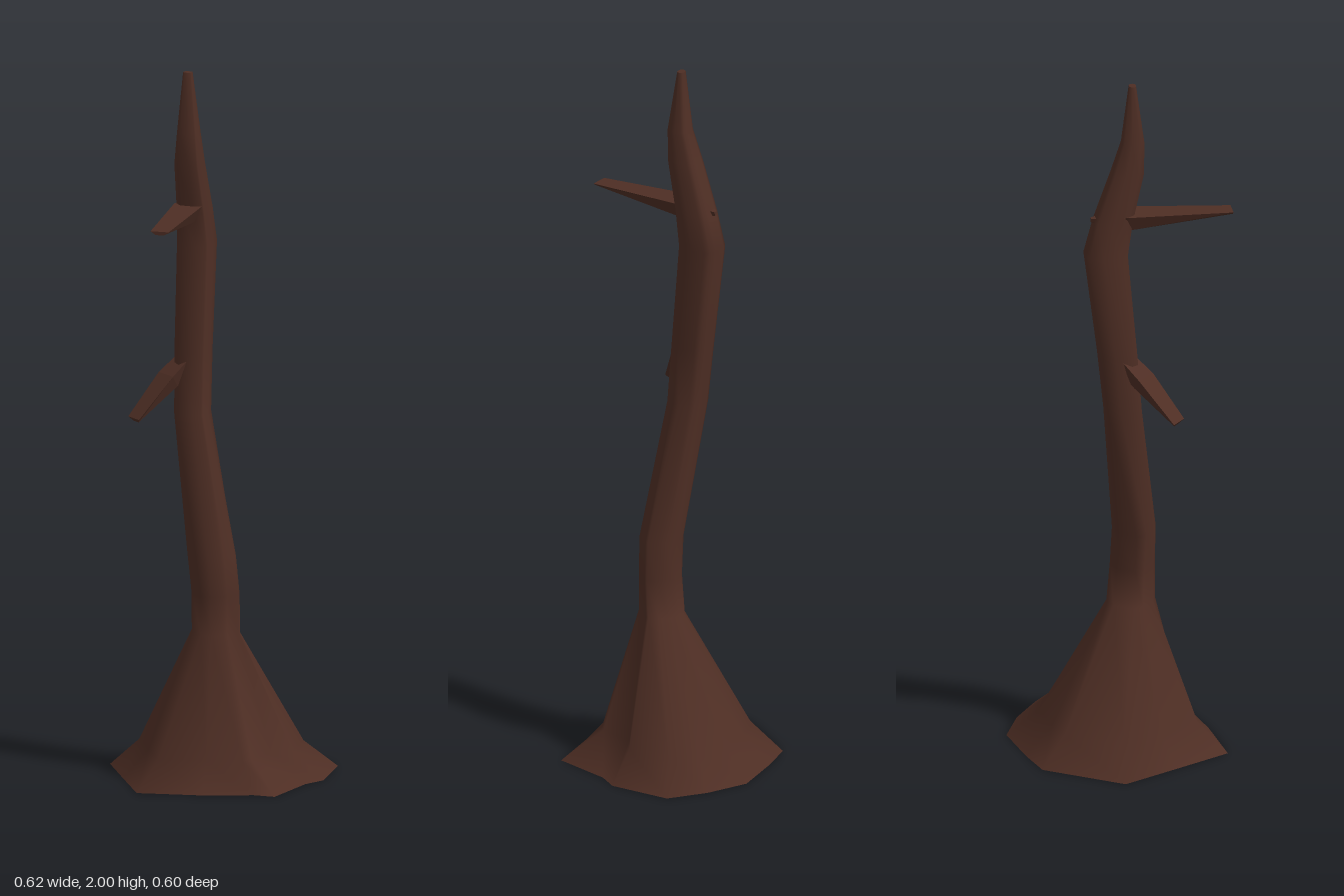
import * as THREE from 'three';

// Skin closed rings of points into one surface with flat end caps (the bottom one optional)
function loft(rings, capBottom) {
  const n = rings[0].length;
  const pos = rings.flat().flatMap((p) => [p.x, p.y, p.z]);
  const index = [];
  for (let r = 0; r < rings.length - 1; r++) {
    for (let i = 0; i < n; i++) {
      const j = (i + 1) % n;
      const a = r * n + i, d = r * n + j;
      index.push(a, a + n, d + n, a, d + n, d);
    }
  }
  const addCap = (ring, top) => {
    const start = pos.length / 3;
    const c = ring.reduce((s, p) => s.add(p), new THREE.Vector3()).divideScalar(n);
    [c, ...ring].forEach((p) => pos.push(p.x, p.y, p.z));
    for (let i = 0; i < n; i++) {
      const a = start + 1 + i, b = start + 1 + ((i + 1) % n);
      index.push(start, top ? b : a, top ? a : b);
    }
  };
  if (capBottom) addCap(rings[0], false);
  addCap(rings[rings.length - 1], true);
  const geo = new THREE.BufferGeometry();
  geo.setAttribute('position', new THREE.Float32BufferAttribute(pos, 3));
  geo.setIndex(index);
  geo.computeVertexNormals();
  return geo;
}

// Faceted wedge-shaped branch through stations of [x, y, z, halfWidth, halfHeight]
function branchGeometry(stations) {
  const first = new THREE.Vector3(...stations[0]);
  const last = new THREE.Vector3(...stations[stations.length - 1]);
  const dir = last.sub(first).normalize();
  const u = new THREE.Vector3().crossVectors(dir, new THREE.Vector3(0, 1, 0)).normalize();
  const v = new THREE.Vector3().crossVectors(u, dir);
  const corners = [[1, 1], [-1, 1], [-0.45, -1], [0.45, -1]];
  const rings = stations.map(([x, y, z, w, h]) => corners.map(([a, b]) =>
    new THREE.Vector3(x, y, z).addScaledVector(u, a * w).addScaledVector(v, b * h)));
  const geo = loft(rings, true).toNonIndexed();
  geo.computeVertexNormals();
  return geo;
}

export function createModel() {
  const model = new THREE.Group();
  // Double-sided because the hollow trunk is open underneath
  const bark = new THREE.MeshStandardMaterial({ color: 0x4e2e24, side: THREE.DoubleSide });
  bark.name = 'dark brown bark';

  // Irregular root footprint [x, z]
  const foot = [
    [-0.31, -0.05], [-0.165, -0.255], [-0.06, -0.28], [0.095, -0.303], [0.21, -0.25],
    [0.307, -0.178], [0.309, 0], [0.272, 0.055], [0.226, 0.222], [0.165, 0.217],
    [0.03, 0.254], [-0.155, 0.27], [-0.233, 0.11],
  ];
  const rings = [
    foot.map(([x, z]) => new THREE.Vector3(x, 0.005, z)),
    // Root shoulder, hollowed between two roots
    foot.map(([x, z], i) => {
      const s = i === 7 || i === 8 ? 0.62 : 0.72;
      return new THREE.Vector3(x * s, 0.085, z * s);
    }),
  ];

  // Trunk sections: y, xMin, xMax, zMin, zMax, roundness (above 1 diamond, below 1 boxy)
  const sections = [
    [0.42, -0.06, 0.08, -0.04, 0.1, 1.35],
    [0.53, -0.06, 0.08, -0.03, 0.1, 1.35],
    [0.64, -0.07, 0.07, -0.025, 0.1, 1.2],
    [1.03, -0.113, -0.015, -0.06, 0.045, 0.7],
    [1.2, -0.116, -0.015, -0.078, 0.032, 0.7],
    [1.5, -0.116, -0.011, -0.116, 0.006, 0.7],
    [1.6, -0.112, -0.018, -0.09, 0.02, 0.7],
    [1.74, -0.11, -0.03, -0.042, 0.05, 0.7],
    [1.83, -0.1, -0.037, -0.012, 0.052, 0.7],
    [2.0, -0.085, -0.058, 0.008, 0.028, 0.8],
  ];
  const bulge = (c, k) => Math.sign(c) * Math.abs(c) ** k;
  for (const [y, x0, x1, z0, z1, k] of sections) {
    rings.push(foot.map(([x, z]) => {
      const t = Math.atan2(z, x);
      return new THREE.Vector3(
        (x0 + x1) / 2 + bulge(Math.cos(t), k) * (x1 - x0) / 2, y,
        (z0 + z1) / 2 + bulge(Math.sin(t), k) * (z1 - z0) / 2);
    }));
  }

  const add = (name, geometry) => {
    const mesh = new THREE.Mesh(geometry, bark);
    mesh.name = name;
    model.add(mesh);
  };
  add('trunk', loft(rings, false));

  // Upper branch, rooted deep in the trunk
  add('upperBranch', branchGeometry([
    [-0.066, 1.603, -0.098, 0.006, 0.006],
    [-0.072, 1.597, 0.0, 0.042, 0.024],
    [-0.083, 1.605, 0.297, 0.026, 0.005],
  ]));
  // Lower branch droops forward to the right
  add('lowerBranch', branchGeometry([
    [-0.075, 1.175, -0.012, 0.03, 0.022],
    [-0.118, 1.127, 0.035, 0.036, 0.022],
    [-0.197, 1.028, 0.12, 0.027, 0.007],
  ]));

  return model;
}
